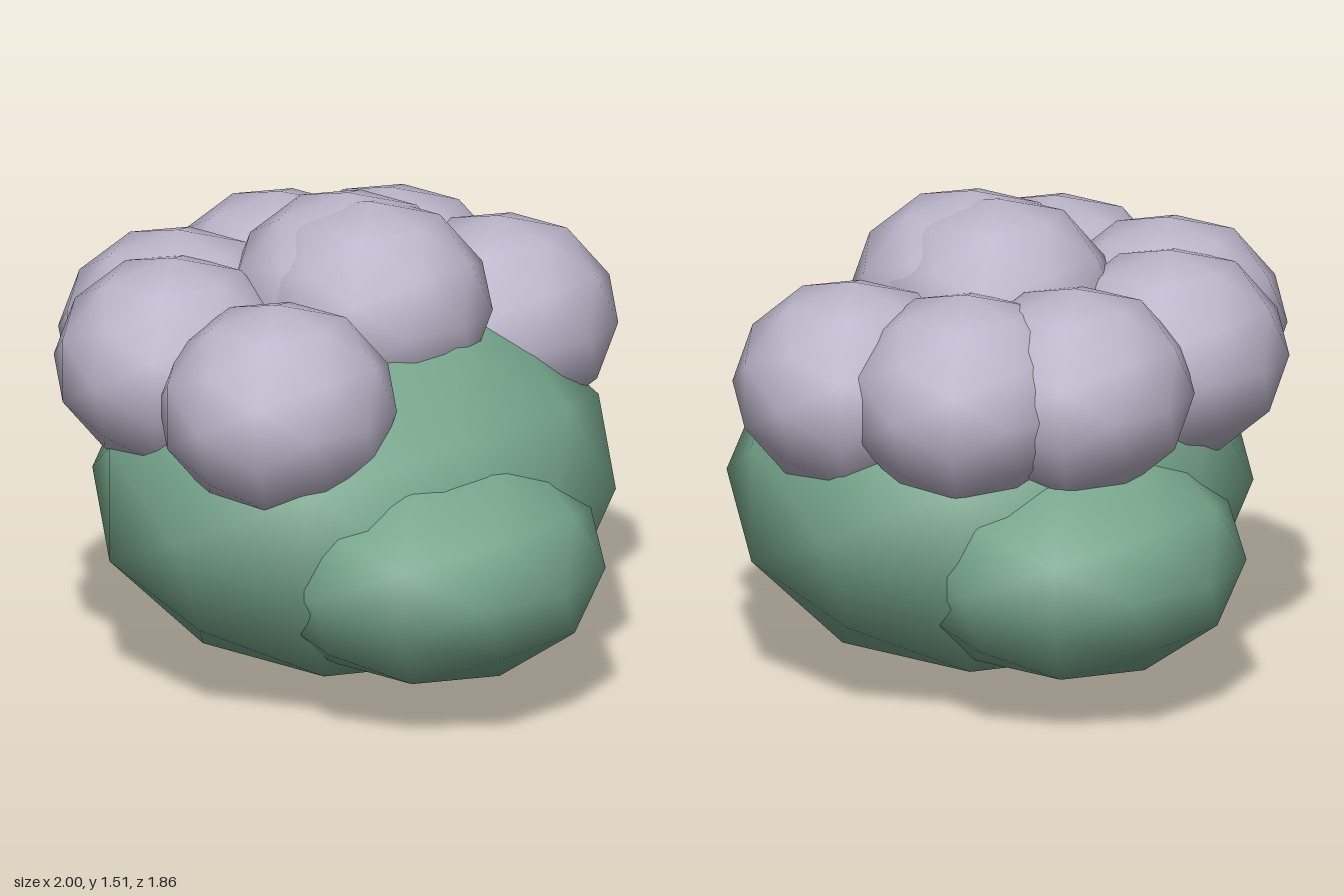
import * as THREE from 'three';

export function createModel() {
  const root = new THREE.Group();
  root.name = 'floweringBush';

  const leafGreen = new THREE.MeshStandardMaterial({ color: 0x76a58b });
  leafGreen.name = 'leafGreen';
  const paleLilac = new THREE.MeshStandardMaterial({ color: 0xbbb5c9 });
  paleLilac.name = 'paleLilac';

  // Coarse smooth ball squashed to an ellipsoid
  const ball = new THREE.IcosahedronGeometry(1, 1);
  const clump = (name, material, position, radii) => {
    const mesh = new THREE.Mesh(ball.clone().scale(...radii), material);
    mesh.name = name;
    mesh.position.set(...position);
    root.add(mesh);
  };

  // Foliage: one large body and a lobe on each side
  clump('foliageBody', leafGreen, [0, 0.6, 0], [0.8, 0.6, 0.855]);
  clump('leftFoliageLobe', leafGreen, [0.44, 0.475, 0.16], [0.56, 0.375, 0.55]);
  clump('rightFoliageLobe', leafGreen, [-0.46, 0.475, -0.19], [0.54, 0.375, 0.55]);

  // Ring of blossoms, open towards the left side
  const ring = [
    [0.16, 1.005, 0.545], [-0.315, 1.04, 0.49], [-0.505, 1.03, 0.25],
    [-0.51, 1.03, -0.24], [-0.28, 1.03, -0.495], [0.115, 1.01, -0.55],
  ];
  ring.forEach((p, i) => clump(`ringBlossom${i + 1}`, paleLilac, p, [0.37, 0.33, 0.38]));

  // Two overlapping blossoms on top
  clump('topBlossomRight', paleLilac, [-0.05, 1.18, -0.03], [0.37, 0.33, 0.38]);
  clump('topBlossomLeft', paleLilac, [0.06, 1.18, -0.01], [0.385, 0.33, 0.375]);

  return root;
}
